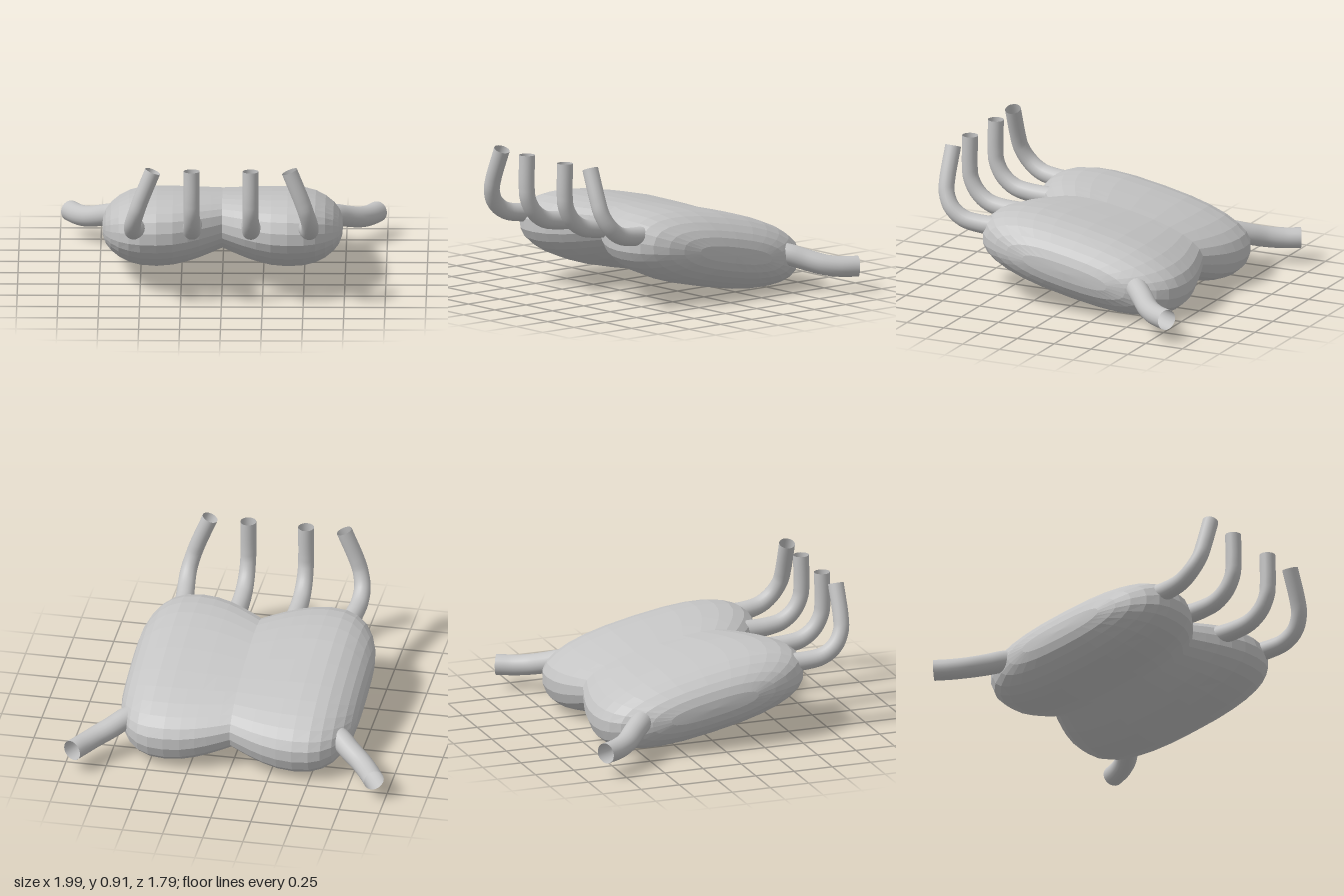
import * as THREE from 'three';

const shell = new THREE.MeshStandardMaterial({ color: 0xc4c4c4, flatShading: true });
shell.name = 'grey shell';
const pipe = new THREE.MeshStandardMaterial({ color: 0xc4c4c4, side: THREE.DoubleSide });
pipe.name = 'grey pipe';

const TILT = 0.2;

// Half cross-sections from the centre crease outward: x, half length, half thickness, centre y, centre z
function sections() {
  const half = [];
  for (const x of [0, 0.07, 0.14, 0.21, 0.3, 0.4]) {
    const f = Math.sin((x / 0.4) * Math.PI / 2);
    half.push([x, 0.54 + 0.145 * f, 0.175 + 0.06 * f, 0.325 - 0.037 * f, -0.125 + 0.058 * f]);
  }
  for (const [x, l, t] of [[0.5, 0.675, 0.228], [0.57, 0.645, 0.21], [0.63, 0.59, 0.18],
    [0.68, 0.505, 0.14], [0.712, 0.41, 0.1], [0.731, 0.29, 0.05]]) half.push([x, l, t, 0.288, -0.067]);
  const left = half.slice(1).reverse().map(([x, ...rest]) => [-x, ...rest]);
  return [...left, ...half];
}

// Two-lobed body: tilted superellipse rings joined along x
function bodyGeometry() {
  const rings = sections(), n = 28, pos = [], idx = [];
  const soft = (c) => Math.sign(c) * Math.abs(c) ** 0.8;
  const c = Math.cos(TILT), s = Math.sin(TILT);
  for (const [x, l, t, cy, cz] of rings) {
    for (let j = 0; j < n; j++) {
      const a = (j / n) * Math.PI * 2;
      const u = l * soft(Math.cos(a)), v = t * soft(Math.sin(a));
      pos.push(x, cy + u * s + v * c, cz + u * c - v * s);
    }
  }
  for (let i = 0; i < rings.length - 1; i++) {
    for (let j = 0; j < n; j++) {
      const k = (j + 1) % n, a = i * n + j, d = i * n + k;
      idx.push(a, a + n, d + n, a, d + n, d);
    }
  }
  // Close both sides with a fan
  const last = (rings.length - 1) * n, centre = rings.length * n;
  pos.push(-0.735, 0.288, -0.067, 0.735, 0.288, -0.067);
  for (let j = 0; j < n; j++) {
    const k = (j + 1) % n;
    idx.push(centre, j, k, centre + 1, last + k, last + j);
  }
  const g = new THREE.BufferGeometry();
  g.setAttribute('position', new THREE.Float32BufferAttribute(pos, 3));
  g.setIndex(idx);
  g.computeVertexNormals();
  return g;
}

// Open-ended tube whose radius changes from r0 to r1
function taperedTube(name, points, side, r0, r1) {
  const curve = new THREE.CatmullRomCurve3(points.map(([x, y, z]) => new THREE.Vector3(x * side, y, z)));
  const steps = 28, radial = 20;
  const g = new THREE.TubeGeometry(curve, steps, 1, radial, false);
  const p = g.attributes.position, v = new THREE.Vector3();
  for (let i = 0; i <= steps; i++) {
    const centre = curve.getPointAt(i / steps), r = r0 + (r1 - r0) * Math.min(1, 1.6 * i / steps);
    for (let j = 0; j <= radial; j++) {
      const k = i * (radial + 1) + j;
      v.fromBufferAttribute(p, k).sub(centre).multiplyScalar(r).add(centre);
      p.setXYZ(k, v.x, v.y, v.z);
    }
  }
  const mesh = new THREE.Mesh(g, pipe);
  mesh.name = name;
  return mesh;
}

export function createModel() {
  const group = new THREE.Group();
  group.name = 'twoLobedBodyWithPipes';

  const body = new THREE.Mesh(bodyGeometry(), shell);
  body.name = 'body';
  group.add(body);

  // Shared bend of the front pipes as [y, z], with the x of each pipe along it
  const bend = [[0.45, 0.4], [0.457, 0.6], [0.48, 0.71], [0.54, 0.79], [0.625, 0.835], [0.7, 0.843], [0.893, 0.84]];
  const innerX = [0.18, 0.18, 0.18, 0.18, 0.18, 0.18, 0.18];
  const outerX = [0.51, 0.528, 0.54, 0.541, 0.52, 0.495, 0.418];
  const rear = [[0.62, 0.24, -0.49], [0.68, 0.225, -0.545], [0.74, 0.2, -0.605], [0.825, 0.17, -0.685],
    [0.885, 0.157, -0.765], [0.94, 0.155, -0.8625]];

  for (const [label, side] of [['Left', 1], ['Right', -1]]) {
    const along = (xs) => bend.map(([y, z], i) => [xs[i], y, z]);
    group.add(taperedTube('innerFrontPipe' + label, along(innerX), side, 0.062, 0.049));
    group.add(taperedTube('outerFrontPipe' + label, along(outerX), side, 0.062, 0.049));
    group.add(taperedTube('rearPipe' + label, rear, side, 0.068, 0.064));
  }
  return group;
}
